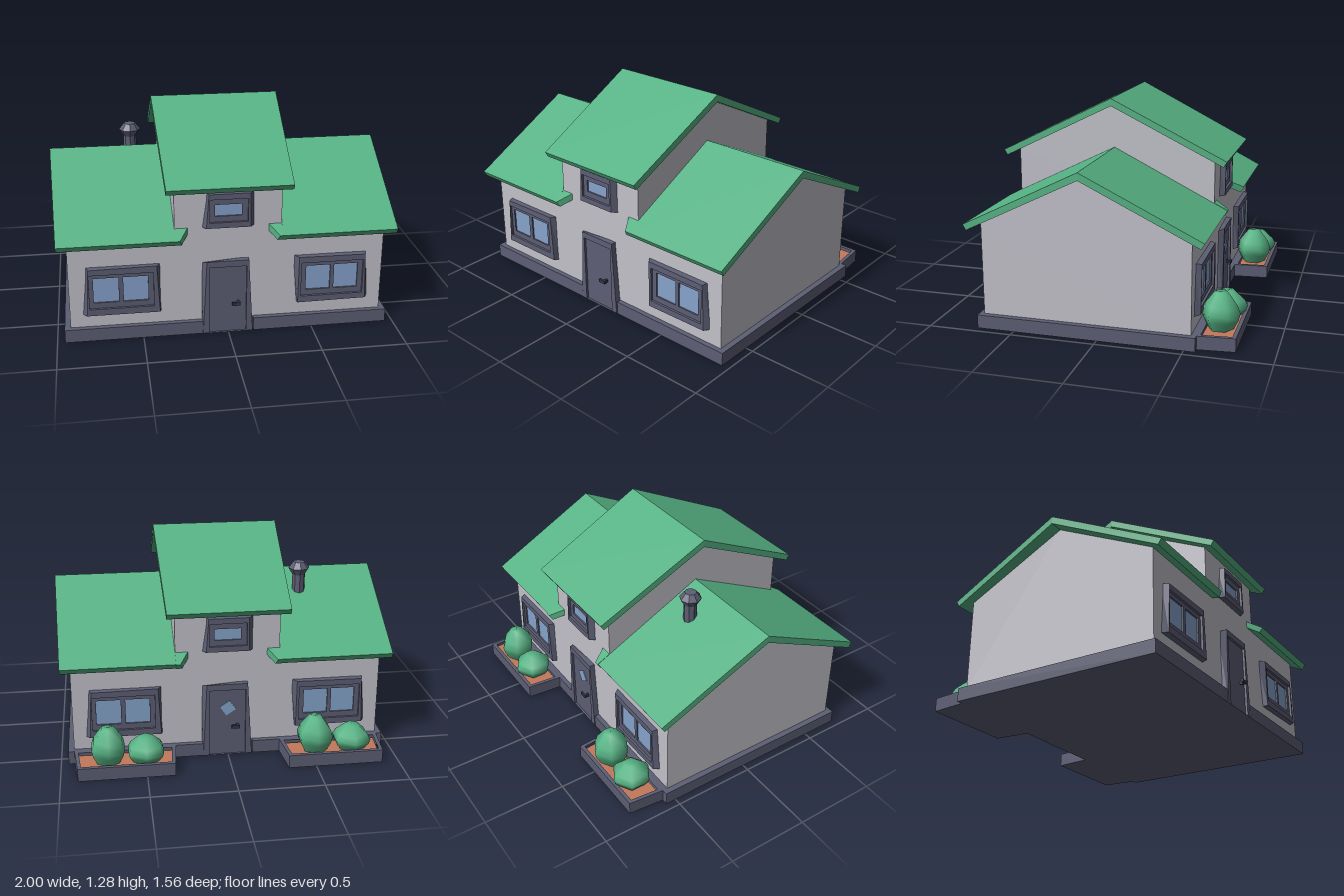
import * as THREE from 'three';

const mat = (name, color) => Object.assign(new THREE.MeshStandardMaterial({ color }), { name });

const RIDGE_Z = 0.08, WALL_Z = 0.69, BACK_Z = -0.535;

export function createModel() {
  const house = new THREE.Group();
  house.name = 'house';

  const wall = mat('wallGrey', 0xc2c1ca);
  const green = mat('leafGreen', 0x56b284);
  const slate = mat('slateTrim', 0x5c5e74);
  const glass = mat('glassBlue', 0x86a4cc);
  const soil = mat('soil', 0xc2785a);
  const dark = mat('handleDark', 0x34354a);

  const add = (parent, name, geo, material, x = 0, y = 0, z = 0) => {
    const m = new THREE.Mesh(geo, material);
    m.name = name;
    m.position.set(x, y, z);
    parent.add(m);
    return m;
  };
  const toShape = (pts, holes = []) => {
    const s = new THREE.Shape(pts.map(p => new THREE.Vector2(...p)));
    s.holes = holes.map(h => new THREE.Path(h.map(p => new THREE.Vector2(...p))));
    return s;
  };
  const rect = (x0, y0, x1, y1) => [[x0, y0], [x1, y0], [x1, y1], [x0, y1]];
  const extrude = (shape, depth) => new THREE.ExtrudeGeometry(shape, { depth, bevelEnabled: false });

  // Section in (z, y) swept along x; an optional rule shifts x afterwards
  const prism = (section, x0, x1, rule) => {
    const g = extrude(toShape(section), x1 - x0);
    g.rotateY(-Math.PI / 2).translate(x1, 0, 0);
    if (rule) {
      const p = g.attributes.position;
      for (let i = 0; i < p.count; i++) p.setX(i, rule(p.getX(i), p.getZ(i)));
      g.computeVertexNormals();
    }
    return g;
  };
  // Plan outline in (x, z) raised along y
  const plan = (pts, height, holes = []) => {
    const flip = a => a.map(([x, z]) => [x, -z]);
    return extrude(toShape(flip(pts), holes.map(flip)), height).rotateX(-Math.PI / 2);
  };
  // Skewed frame: outer back -> outer front -> inner front -> inner back
  const frame = (back, front, inner, zFront, zInner) => {
    const loops = [[back, WALL_Z - 0.01], [front, zFront], [inner, zFront], [inner, zInner]]
      .map(([l, z]) => l.map(([x, y]) => [x, y, z]));
    const pos = [];
    for (let k = 0; k < 3; k++) for (let i = 0; i < 4; i++) {
      const j = (i + 1) % 4;
      const [a, b, c, d] = [loops[k][i], loops[k][j], loops[k + 1][j], loops[k + 1][i]];
      pos.push(...a, ...b, ...c, ...a, ...c, ...d);
    }
    const g = new THREE.BufferGeometry();
    g.setAttribute('position', new THREE.Float32BufferAttribute(pos, 3));
    g.computeVertexNormals();
    return g;
  };

  // Foundation, notched at both doors
  add(house, 'foundation', plan([
    [-0.955, 0.72], [-0.15, 0.72], [-0.15, WALL_Z], [0.15, WALL_Z], [0.15, 0.72], [0.955, 0.72],
    [0.955, -0.565], [0.15, -0.565], [0.15, BACK_Z], [-0.15, BACK_Z], [-0.15, -0.565], [-0.955, -0.565],
  ], 0.08), slate);

  // Gabled walls
  const gable = (y0, eave, apex) => [[BACK_Z, y0], [WALL_Z, y0], [WALL_Z, eave], [RIDGE_Z, apex], [BACK_Z, eave]];
  add(house, 'mainWalls', prism(gable(0.075, 0.63, 0.935), -0.92, 0.92), wall);
  add(house, 'towerWalls', prism(gable(0.5, 0.935, 1.24), -0.31, 0.31), wall);

  // Roofs: chevron sections, narrowing towards the eaves
  const chevron = top => [
    [RIDGE_Z, top], [RIDGE_Z + 0.695, top - 0.347], [RIDGE_Z + 0.675, top - 0.38],
    [RIDGE_Z, top - 0.045], [RIDGE_Z - 0.675, top - 0.38], [RIDGE_Z - 0.695, top - 0.347],
  ];
  const taper = (x, z) => (Math.abs(x) < 0.35 ? x : x - Math.sign(x) * 0.033 * Math.abs(z - RIDGE_Z));
  add(house, 'towerRoof', prism(chevron(1.28), -0.383, 0.383, taper), green);
  add(house, 'rightRoof', prism(chevron(0.975), -1, -0.31, taper), green);
  add(house, 'leftRoof', prism(chevron(0.975), 0.31, 1, taper), green);

  // Window: skewed frame, sash with openings, thin glass
  const addWindow = (parent, name, back, front, inner, panes) => {
    const g = new THREE.Group();
    g.name = name;
    parent.add(g);
    add(g, 'windowFrame', frame(back, front, rect(...inner), 0.722, 0.695), slate);
    add(g, 'sash', extrude(toShape(rect(...inner), panes.map(p => rect(...p))), 0.02), slate, 0, 0, 0.688);
    for (const [x0, y0, x1, y1] of panes)
      add(g, 'pane', new THREE.BoxGeometry(x1 - x0, y1 - y0, 0.008), glass, (x0 + x1) / 2, (y0 + y1) / 2, 0.695);
  };

  const addFacade = name => {
    const f = new THREE.Group();
    f.name = name;
    house.add(f);
    addWindow(f, 'rightWindow',
      [[-0.85, 0.16], [-0.39, 0.16], [-0.39, 0.46], [-0.82, 0.46]],
      [[-0.82, 0.165], [-0.4, 0.165], [-0.415, 0.46], [-0.805, 0.455]],
      [-0.805, 0.205, -0.435, 0.42], [[-0.78, 0.24, -0.635, 0.395], [-0.608, 0.24, -0.465, 0.395]]);
    addWindow(f, 'leftWindow',
      [[0.41, 0.16], [0.845, 0.17], [0.82, 0.46], [0.385, 0.46]],
      [[0.412, 0.165], [0.82, 0.17], [0.808, 0.455], [0.415, 0.458]],
      [0.43, 0.205, 0.8, 0.42], [[0.46, 0.24, 0.605, 0.395], [0.628, 0.24, 0.77, 0.395]]);
    addWindow(f, 'towerWindow',
      [[-0.155, 0.67], [0.155, 0.67], [0.153, 0.88], [-0.125, 0.88]],
      [[-0.13, 0.672], [0.125, 0.672], [0.122, 0.878], [-0.115, 0.878]],
      [-0.11, 0.705, 0.11, 0.845], [[-0.08, 0.74, 0.075, 0.81]]);

    // Door with lever handle
    add(f, 'doorFrame', frame(
      [[-0.155, 0], [0.15, 0], [0.12, 0.465], [-0.155, 0.445]],
      [[-0.15, 0], [0.145, 0], [0.118, 0.463], [-0.127, 0.463]],
      rect(-0.113, 0, 0.106, 0.425), 0.722, 0.69), slate);
    add(f, 'door', new THREE.BoxGeometry(0.225, 0.425, 0.03), slate, -0.003, 0.2125, 0.693);
    add(f, 'handleStem', new THREE.BoxGeometry(0.015, 0.018, 0.03), dark, 0.058, 0.19, 0.718);
    add(f, 'handleLever', new THREE.BoxGeometry(0.048, 0.02, 0.012), dark, 0.044, 0.19, 0.735);

    // Eave lips wrapping in front of the tower
    const lip = [[WALL_Z, 0.67], [0.775, 0.628], [0.755, 0.595], [WALL_Z, 0.628]];
    for (const s of [-1, 1]) {
      const rule = (x, z) => s * (x < 0.27 ? 0.235 + (z - WALL_Z) * 0.6 : x);
      const g = s > 0 ? prism(lip, 0.235, 0.31, rule)
        : prism(lip, -0.31, -0.235, x => x).translate(0, 0, 0);
      if (s < 0) {
        const p = g.attributes.position;
        for (let i = 0; i < p.count; i++) p.setX(i, rule(-p.getX(i), p.getZ(i)));
        g.computeVertexNormals();
      }
      add(f, 'eaveLip', g, green);
    }
    return f;
  };

  addFacade('frontFacade');
  const rear = addFacade('backFacade');
  rear.rotation.y = Math.PI;
  rear.position.z = WALL_Z + BACK_Z;
  const diamond = add(rear, 'doorDiamond', new THREE.BoxGeometry(0.07, 0.07, 0.008), glass, 0, 0.305, 0.709);
  diamond.rotation.z = 0.6;

  // Planters with soil and faceted bushes behind the house
  const bush = (r, h) => new THREE.LatheGeometry(
    [[0.6, 0], [0.92, 0.3], [1, 0.48], [0.85, 0.68], [0.36, 1], [0, 1]]
      .map(([a, b]) => new THREE.Vector2(a * r, b * h)), 6);
  const bushes = { '-1': [[0.735, 0.118, 0.16], [0.51, 0.112, 0.23]], 1: [[0.5, 0.118, 0.16], [0.72, 0.11, 0.23]] };
  for (const s of [-1, 1]) {
    const g = new THREE.Group();
    g.name = s < 0 ? 'rightPlanter' : 'leftPlanter';
    house.add(g);
    const outer = [[s * 0.315, -0.56], [s * 0.92, -0.56], [s * 0.9, -0.78], [s * 0.335, -0.78]];
    const inner = [[s * 0.34, -0.585], [s * 0.895, -0.585], [s * 0.88, -0.757], [s * 0.355, -0.757]];
    add(g, 'planterRim', plan(outer, 0.08, [inner]), slate);
    add(g, 'planterBase', plan(inner, 0.02), slate);
    add(g, 'soilBed', plan(inner, 0.04), soil, 0, 0.02, 0);
    for (const [x, r, h] of bushes[s]) add(g, 'bush', bush(r, h), green, s * x, 0.045, -0.663);
  }

  // Chimney pipe with a faceted cap
  const pipe = [[0.04, 0.83], [0.04, 0.98], [0.066, 1.022], [0.036, 1.06], [0, 1.06]];
  const chimney = new THREE.LatheGeometry(pipe.map(p => new THREE.Vector2(...p)), 8).toNonIndexed();
  chimney.computeVertexNormals();
  add(house, 'chimney', chimney, slate, -0.507, 0, -0.1);

  return house;
}
